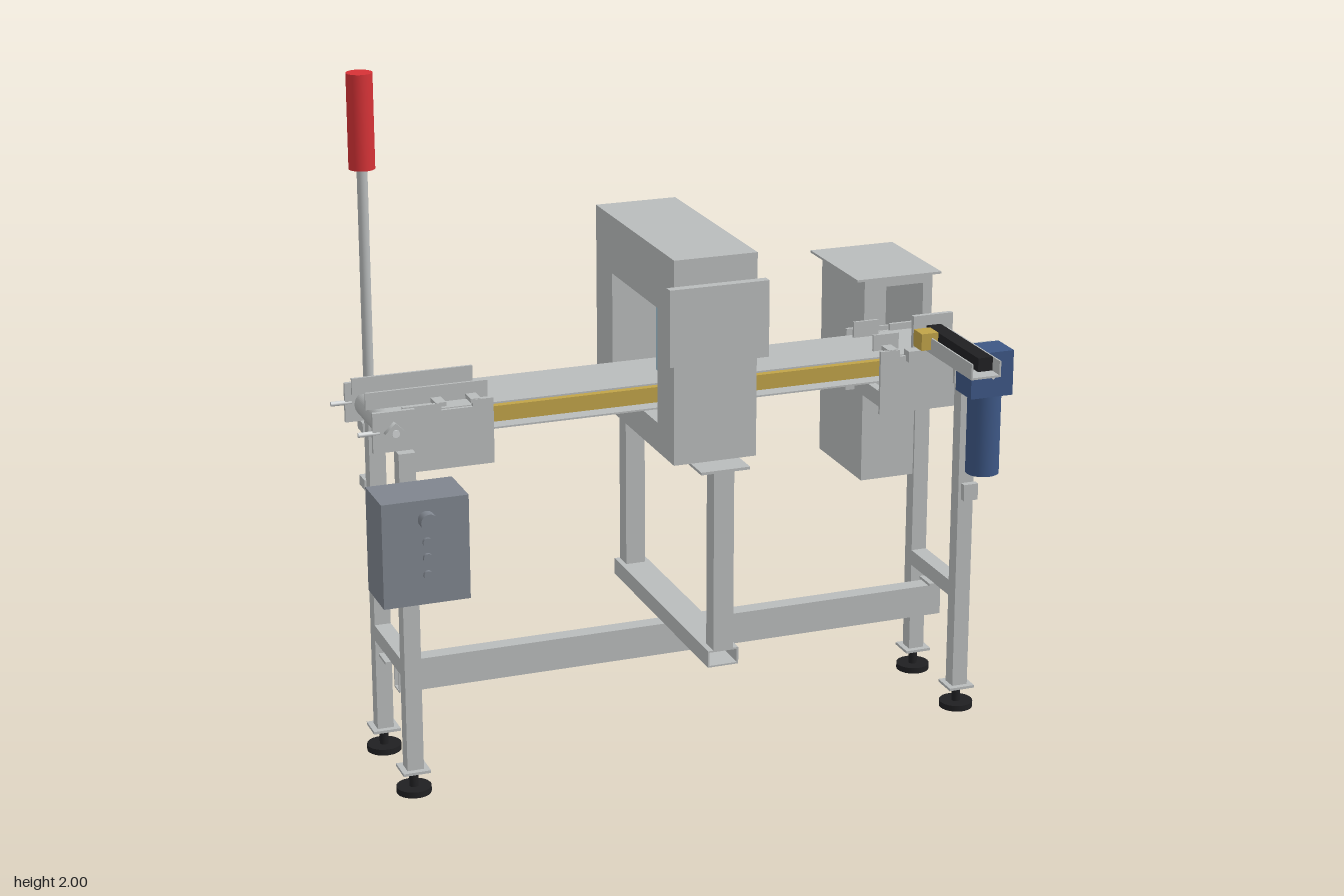
import * as THREE from 'three';

const mat = (name, color, double) => {
  const m = new THREE.MeshStandardMaterial({ color });
  m.name = name;
  if (double) m.side = THREE.DoubleSide;
  return m;
};

export function createModel() {
  const root = new THREE.Group();
  root.name = 'inspectionConveyor';
  const steel = mat('steel', 0xb9bcbc, true);
  const roller = mat('polishedSteel', 0xd2d5d6);
  const yellow = mat('slideBedYellow', 0xc0a348);
  const blue = mat('motorBlue', 0x3d5785);
  const red = mat('beaconRed', 0xd63236);
  const black = mat('rubberBlack', 0x202022);
  const boxGrey = mat('controlBoxGrey', 0x7f858e);
  const pale = mat('productBlue', 0xa2c6d6);

  const add = (name, geo, m) => {
    const mesh = new THREE.Mesh(geo, m);
    mesh.name = name;
    root.add(mesh);
    return mesh;
  };
  // Box given by its limits on each axis
  const box = (name, m, x0, x1, y0, y1, z0, z1) => {
    const b = add(name, new THREE.BoxGeometry(x1 - x0, y1 - y0, z1 - z0), m);
    b.position.set((x0 + x1) / 2, (y0 + y1) / 2, (z0 + z1) / 2);
    return b;
  };
  // Cylinder centred at a point, along the chosen axis
  const cyl = (name, m, r, len, x, y, z, axis = 'y', sides = 28) => {
    const c = add(name, new THREE.CylinderGeometry(r, r, len, sides), m);
    if (axis === 'x') c.rotation.z = Math.PI / 2;
    if (axis === 'z') c.rotation.x = Math.PI / 2;
    c.position.set(x, y, z);
    return c;
  };
  const rect = (P, a, b, c, d) => {
    const s = new P();
    s.moveTo(a, c); s.lineTo(b, c); s.lineTo(b, d); s.lineTo(a, d); s.closePath();
    return s;
  };
  const extrude = (shape, depth) =>
    new THREE.ExtrudeGeometry(shape, { depth, bevelEnabled: false, curveSegments: 16 });
  // Open-ended rectangular tube, along x or z
  const tube = (name, axis, u0, u1, y0, y1, start, end) => {
    const t = 0.005;
    const s = rect(THREE.Shape, u0, u1, y0, y1);
    s.holes.push(rect(THREE.Path, u0 + t, u1 - t, y0 + t, y1 - t));
    const mesh = add(name, extrude(s, end - start), steel);
    if (axis === 'x') { mesh.rotation.y = Math.PI / 2; mesh.position.x = start; }
    else mesh.position.z = start;
  };

  // Legs, levelling feet and end crossbars
  const legX = [-0.835, 0.86], legZ = [0.167, -0.14], midZ = 0.013;
  for (const x of legX) {
    for (const z of legZ) {
      box('leg', steel, x - 0.024, x + 0.024, 0.075, 1.02, z - 0.023, z + 0.023);
      box('legPlate', steel, x - 0.04, x + 0.04, 0.067, 0.075, z - 0.04, z + 0.04);
      cyl('footStem', black, 0.013, 0.06, x, 0.042, z);
      cyl('footPad', black, 0.05, 0.018, x, 0.009, z);
    }
    box('endCrossbar', steel, x - 0.024, x + 0.024, 0.352, 0.4, -0.12, 0.145);
    box('beamPlate', steel, x - 0.04, x + 0.04, 0.345, 0.353, midZ - 0.035, midZ + 0.035);
  }
  // Long base beam (local u runs along -z)
  tube('baseBeam', 'x', -0.04, 0.01, 0.25, 0.345, -0.835, 0.86);

  // Yoke carrying the detector
  tube('yokeCrossbar', 'z', -0.034, 0.058, 0.35, 0.4, -0.375, 0.4);
  for (const [z0, z1] of [[0.345, 0.4], [-0.37, -0.315]]) {
    box('yokePost', steel, -0.018, 0.042, 0.4, 0.935, z0, z1);
    const out = z0 > 0 ? [0.26, 0.41] : [-0.39, -0.24];
    box('yokeTopPlate', steel, -0.06, 0.085, 0.932, 0.94, ...out);
  }

  // Detector head with its aperture; local u runs along -z
  const head = rect(THREE.Shape, -0.33, 0.305, 0.94, 1.53);
  head.holes.push(rect(THREE.Path, -0.2, 0.17, 1.025, 1.36));
  const headMesh = add('detectorHead', extrude(head, 0.245), steel);
  headMesh.rotation.y = Math.PI / 2;
  headMesh.position.x = -0.11;
  box('detectorPanel', steel, -0.132, 0.16, 1.235, 1.455, 0.33, 0.357);

  // Belt loop round two end rollers
  const stadium = (P, r) => {
    const s = new P();
    s.moveTo(-0.862, 1.077 - r);
    s.lineTo(0.887, 1.077 - r);
    s.absarc(0.887, 1.077, r, -Math.PI / 2, Math.PI / 2, false);
    s.lineTo(-0.862, 1.077 + r);
    s.absarc(-0.862, 1.077, r, Math.PI / 2, Math.PI * 1.5, false);
    return s;
  };
  const loop = stadium(THREE.Shape, 0.039);
  loop.holes.push(stadium(THREE.Path, 0.034));
  add('belt', extrude(loop, 0.225), steel).position.z = -0.1;
  for (const x of [-0.862, 0.887]) {
    cyl('endRoller', roller, 0.033, 0.226, x, 1.077, midZ, 'z');
    cyl('rollerShaft', roller, 0.011, 0.34, x, 1.077, midZ, 'z', 16);
  }
  box('slideBed', yellow, -0.6, 0.62, 1.06, 1.105, -0.102, 0.128);
  cyl('testProduct', pale, 0.053, 0.195, 0.01, 1.214, 0.018);

  // Notched side plates, bearings and guides at both ends
  const plateGeo = (flip, inner, outer) => {
    const pts = [[inner, 0.945], [outer, 0.945], [outer, 1.135], [outer - 0.11 * flip, 1.135],
      [outer - 0.11 * flip, 1.115], [inner + 0.06 * flip, 1.115], [inner + 0.06 * flip, 1.135], [inner, 1.135]];
    return extrude(new THREE.Shape(pts.map(p => new THREE.Vector2(...p))), 0.01);
  };
  for (const [side, inner, outer] of [[-1, -0.57, -0.83], [1, 0.6, 0.85]]) {
    const rx = side < 0 ? -0.862 : 0.887;
    for (const s of [1, -1]) {
      add('sidePlate', plateGeo(side, inner, outer), steel).position.z = midZ + s * 0.122 - 0.005;
      box('bearingPlate', steel, rx - 0.06, rx + 0.06, 1.02, 1.135, midZ + s * 0.143 - 0.006, midZ + s * 0.143 + 0.006);
      const bearing = cyl('bearingBlock', steel, 0.03, 0.02, rx, 1.077, midZ + s * 0.157, 'z', 4);
      bearing.name = 'bearingBlock';
      const bx = rx + side * 0.07;
      cyl('tensionBolt', roller, 0.007, 0.06, side < 0 ? bx : bx - 0.03, 1.077, midZ + s * 0.143, 'x', 12);
      // Guide rails on small posts
      const far = side < 0 ? -0.92 : 0.68;
      const gz = midZ + s * 0.07;
      box('guideRail', steel, Math.min(inner, far), Math.max(inner, far), 1.122, 1.17, gz - 0.004, gz + 0.004);
      const arms = side < 0 ? [-0.62, -0.72] : [0.64];
      for (const x of arms)
        box('guideArm', steel, x - 0.015, x + 0.015, 1.125, 1.137, Math.min(gz, midZ + s * 0.125), Math.max(gz, midZ + s * 0.125));
    }
    for (const d of [0.04, 0.2]) {
      const x = inner + side * d;
      box('frameBrace', steel, x - 0.012, x + 0.012, 0.945, 0.992, -0.11, 0.136);
    }
  }

  // Control box with knob and buttons
  box('controlBox', boxGrey, -0.96, -0.715, 0.645, 0.945, 0.207, 0.363);
  box('controlBoxBracket', steel, -0.9, -0.75, 0.7, 0.9, 0.19, 0.207);
  cyl('selectorKnob', boxGrey, 0.024, 0.034, -0.835, 0.89, 0.378, 'z');
  for (const y of [0.825, 0.78, 0.73]) cyl('button', boxGrey, 0.013, 0.012, -0.835, y, 0.367, 'z', 20);

  // Beacon on its pole
  cyl('beaconPole', steel, 0.015, 1.0, -0.835, 1.235, -0.188);
  cyl('beacon', red, 0.037, 0.27, -0.835, 1.865, -0.188, 'y', 32);
  for (const y of [0.8, 0.97]) box('poleClamp', steel, -0.865, -0.805, y, y + 0.03, -0.21, -0.155);

  // Drive motor
  box('gearbox', blue, 0.82, 0.953, 1.01, 1.145, 0.185, 0.285);
  cyl('motor', blue, 0.049, 0.245, 0.888, 0.888, 0.235);
  cyl('motorShaftCap', roller, 0.016, 0.006, 0.888, 1.08, 0.287, 'z', 4);
  box('motorStay', steel, 0.845, 0.89, 0.67, 0.72, 0.19, 0.21);

  // Reject bin with an opening towards the belt
  const face = rect(THREE.Shape, 0.665, 0.885, 0.645, 1.268);
  face.holes.push(rect(THREE.Path, 0.705, 0.855, 1.125, 1.245));
  add('binFront', extrude(face, 0.008), steel).position.z = -0.133;
  box('binBack', steel, 0.665, 0.885, 0.645, 1.268, -0.44, -0.432);
  box('binSide', steel, 0.665, 0.673, 0.645, 1.268, -0.432, -0.133);
  box('binSide', steel, 0.877, 0.885, 0.645, 1.268, -0.432, -0.133);
  box('binFloor', steel, 0.673, 0.877, 0.645, 0.653, -0.432, -0.133);
  box('binLid', steel, 0.64, 0.912, 1.268, 1.275, -0.473, -0.122);

  // Reject pusher: black cylinder in an open channel, with valve block
  box('pusherChannelFloor', steel, 0.73, 0.822, 1.133, 1.139, 0.12, 0.465);
  for (const x of [0.73, 0.817]) box('pusherChannelWall', steel, x, x + 0.005, 1.139, 1.18, 0.12, 0.465);
  box('pusherCylinder', black, 0.755, 0.8, 1.152, 1.192, 0.115, 0.455);
  box('pusherPaddle', steel, 0.715, 0.84, 1.122, 1.222, 0.097, 0.112);
  box('pusherMount', steel, 0.68, 0.83, 1.1, 1.133, 0.125, 0.16);
  box('valveBlock', yellow, 0.7, 0.752, 1.145, 1.195, 0.145, 0.2);

  return root;
}
